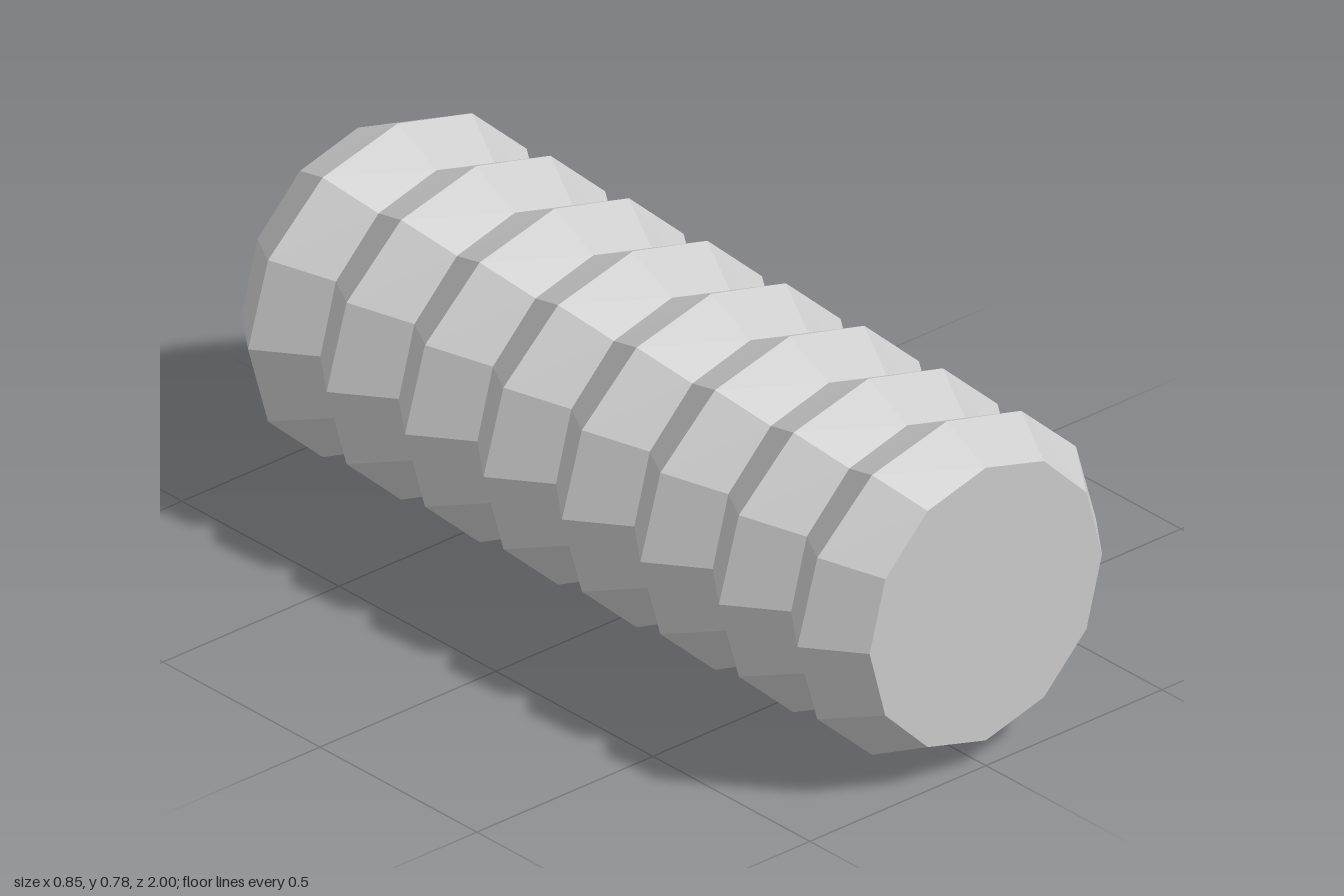
import * as THREE from 'three';

const SIDES = 12;
const FOLDS = 8;
const LENGTH = 2;
const CENTRE_Y = 0.391;
const VALLEY = 0.33;
const RIDGE = 0.424;
const RIDGE_HEIGHT = 0.391; // ridges are slightly flattened vertically

export function createModel() {
  const group = new THREE.Group();
  group.name = 'bellows';
  const material = new THREE.MeshStandardMaterial({ color: 0xcccccc, flatShading: true });

  const add = (name, geometry, z = 0) => {
    const mesh = new THREE.Mesh(geometry, material);
    mesh.name = name;
    mesh.position.set(0, CENTRE_Y, z);
    group.add(mesh);
    return mesh;
  };

  // Zigzag profile, turned about the long axis
  const profile = [];
  for (let i = 0; i <= FOLDS * 2; i++) {
    profile.push(new THREE.Vector2(i % 2 ? RIDGE : VALLEY, (i / (FOLDS * 2) - 0.5) * LENGTH));
  }
  const tube = new THREE.LatheGeometry(profile, SIDES).rotateX(Math.PI / 2);

  // Flatten only the ridge rings
  const pos = tube.attributes.position;
  for (let i = 0; i < pos.count; i++) {
    const isRidge = Math.hypot(pos.getX(i), pos.getY(i)) > (VALLEY + RIDGE) / 2;
    if (isRidge) pos.setY(i, pos.getY(i) * RIDGE_HEIGHT / RIDGE);
  }
  const folded = tube.toNonIndexed();
  folded.computeVertexNormals();
  add('foldedTube', folded);

  // Flat end caps
  add('frontCap', new THREE.CircleGeometry(VALLEY, SIDES), LENGTH / 2);
  add('backCap', new THREE.CircleGeometry(VALLEY, SIDES).rotateY(Math.PI), -LENGTH / 2);

  return group;
}
